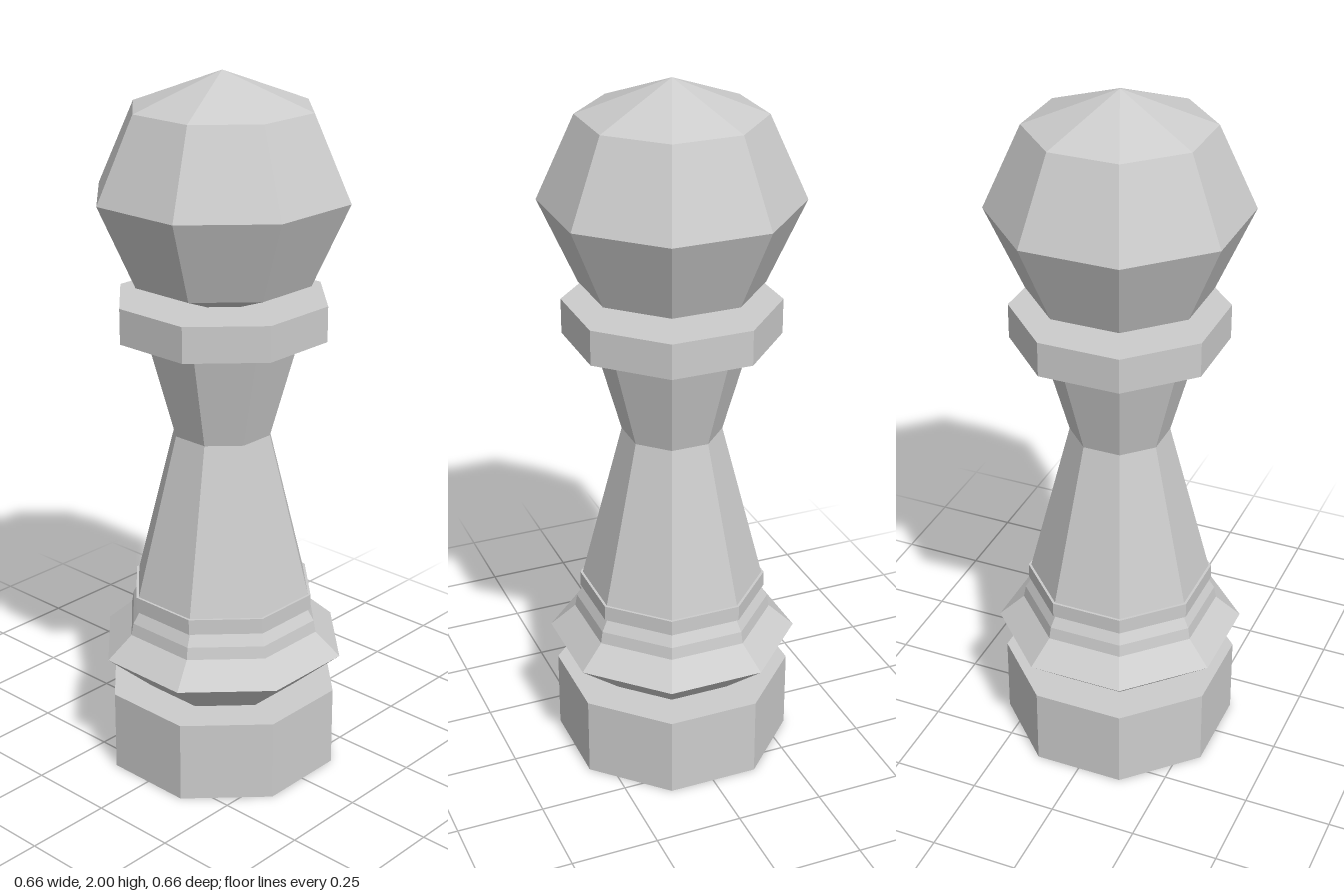
import * as THREE from 'three';

const SIDES = 8;
const TO_CORNER = 1 / Math.cos(Math.PI / SIDES);

export function createModel() {
  const group = new THREE.Group();
  group.name = 'chessPawn';
  const stone = new THREE.MeshStandardMaterial({ color: 0xcccccc, flatShading: true });
  stone.name = 'paleStone';

  // Turns a profile of [distance to flat side, height] into an octagonal part
  function turned(name, profile) {
    const points = profile.map(([r, y]) => new THREE.Vector2(r * TO_CORNER, y));
    const geometry = new THREE.LatheGeometry(points, SIDES, Math.PI / SIDES);
    const mesh = new THREE.Mesh(geometry, stone);
    mesh.name = name;
    group.add(mesh);
  }

  // Foot block
  turned('base', [[0, 0], [0.314, 0], [0.314, 0.235], [0, 0.235]]);

  // Flared ring with a narrow step above it
  turned('flaredRing', [
    [0.2, 0.23], [0.33, 0.35], [0.263, 0.415], [0.257, 0.45], [0.235, 0.49],
  ]);

  // Thin band where the stem begins
  turned('stemBand', [[0.22, 0.485], [0.247, 0.485], [0.247, 0.53], [0.22, 0.53]]);

  // Waisted stem
  turned('stem', [[0.24, 0.53], [0.13, 1.0], [0.205, 1.29]]);

  // Collar disc
  turned('collar', [[0, 1.29], [0.278, 1.29], [0.278, 1.39], [0, 1.39]]);

  // Faceted ball
  turned('head', [[0, 1.345], [0.234, 1.441], [0.331, 1.673], [0.234, 1.904], [0, 2]]);

  return group;
}
